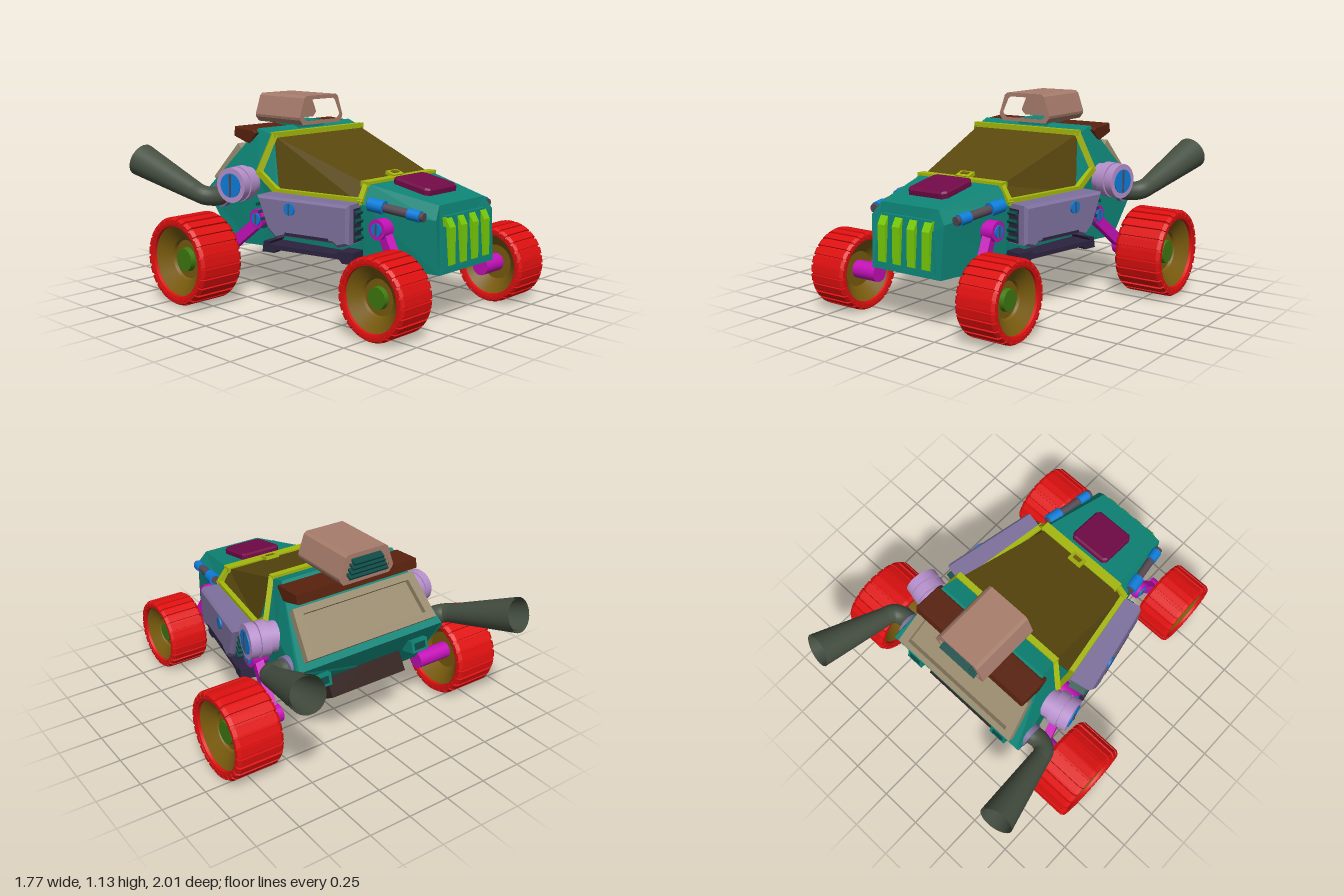
import * as THREE from 'three';
import { toCreasedNormals } from 'three/addons/utils/BufferGeometryUtils.js';

const V = (x, y, z) => new THREE.Vector3(x, y, z);
const C = {
  body: 0x0e8577, trim: 0xa5b80c, glass: 0x5a480e, pod: 0x7e719e, drum: 0xb58fca, arm: 0xc411b8,
  tyre: 0xe01010, hub: 0x7a5c0e, cap: 0x3f7a10, grille: 0x77cc08, hatch: 0x720a48, scoop: 0xa87d6c,
  wing: 0x5a220e, pipe: 0x465042, blue: 0x0e7ddb, tan: 0x9a8c70, skid: 0x2c2440, vent: 0x0c4a45, rod: 0x554a55, box: 0x33221f,
};
const mats = {};
for (const k in C) mats[k] = new THREE.MeshStandardMaterial({ color: C[k] });
mats.pipe.side = THREE.DoubleSide;

function add(parent, name, geo, mat, x = 0, y = 0, z = 0) {
  const m = new THREE.Mesh(geo, mats[mat]);
  m.name = name;
  m.position.set(x, y, z);
  parent.add(m);
  return m;
}
const box = (w, h, d) => new THREE.BoxGeometry(w, h, d);

// Round bar from a to b
function rod(parent, name, mat, a, b, r0, r1 = r0, open = false) {
  const m = add(parent, name, new THREE.CylinderGeometry(r1, r0, a.distanceTo(b), 28, 1, open), mat);
  m.position.copy(a).lerp(b, 0.5);
  m.quaternion.setFromUnitVectors(V(0, 1, 0), b.clone().sub(a).normalize());
  return m;
}
// Square bar from a to b
function beam(parent, name, mat, a, b, w, h) {
  const m = add(parent, name, box(w, h, a.distanceTo(b) + w * 0.6), mat);
  m.position.copy(a).lerp(b, 0.5);
  m.lookAt(b);
  return m;
}
function polygon(pts) {
  return new THREE.Shape(pts.map(p => new THREE.Vector2(p[0], p[1])));
}
function extrude(shape, depth, bevel = 0) {
  return new THREE.ExtrudeGeometry(shape, {
    depth, bevelEnabled: bevel > 0, bevelSize: bevel, bevelThickness: bevel, bevelOffset: -bevel, bevelSegments: 1, curveSegments: 6,
  });
}
// Side profile in (z, y), running inward from x = 0
const sideExtrude = (pts, depth, bevel) => extrude(polygon(pts), depth, bevel).rotateY(-Math.PI / 2);

// Mirrored sections, front to back; each is a list of [z, y, halfWidth] from bottom to top
function loft(sections) {
  const rings = sections.map(s => [...s.map(([z, y, w]) => V(-w, y, z)), ...s.slice().reverse().map(([z, y, w]) => V(w, y, z))]);
  const n = rings[0].length, pts = [], last = rings.length - 1;
  for (let s = 0; s < last; s++) for (let j = 0; j < n; j++) {
    const k = (j + 1) % n, a = rings[s][j], b = rings[s][k], c = rings[s + 1][k], d = rings[s + 1][j];
    pts.push(a, b, c, a, c, d);
  }
  for (let k = 1; k < n - 1; k++) {
    pts.push(rings[0][0], rings[0][k + 1], rings[0][k]);
    pts.push(rings[last][0], rings[last][k], rings[last][k + 1]);
  }
  const g = new THREE.BufferGeometry().setFromPoints(pts);
  g.computeVertexNormals();
  return g;
}
const lathe = (pts, scaleR, scaleY) =>
  toCreasedNormals(new THREE.LatheGeometry(pts.map(p => new THREE.Vector2(p[0] * scaleR, p[1] * scaleY)), 40), 0.4);

// Wheel with its outer face toward +x
function wheel(r, w) {
  const g = new THREE.Group();
  add(g, 'tyre', lathe([[0.77, -0.3], [0.8, -0.48], [0.91, -0.5], [0.965, -0.43], [0.965, 0.43], [0.91, 0.5], [0.8, 0.48], [0.77, 0.3]], r, w), 'tyre');
  add(g, 'hub', lathe([[0, -0.15], [0.45, -0.15], [0.79, -0.42], [0.79, 0.42], [0.47, 0.22], [0.44, 0.16], [0, 0.16]], r, w), 'hub');
  add(g, 'hubCap', new THREE.CylinderGeometry(r * 0.26, r * 0.28, w * 0.14, 28), 'cap', 0, w * 0.2, 0);
  // Tread lugs with chamfered shoulders
  const lug = extrude(polygon([[0.85, -0.5], [0.95, -0.5], [1, -0.43], [1, 0.43], [0.95, 0.5], [0.85, 0.5]].map(p => [p[0] * r, p[1] * w * 1.01])), r * 0.17);
  lug.translate(0, 0, -r * 0.085);
  for (let i = 0; i < 26; i++) add(g, 'treadLug', lug, 'tyre').rotation.y = i / 26 * Math.PI * 2;
  g.rotation.z = -Math.PI / 2;
  return g;
}

// Everything on the left side
function buildSide() {
  const g = new THREE.Group();
  for (const [name, r, w, x, y, z] of [['frontWheel', 0.215, 0.235, 0.495, 0.225, 0.787], ['rearWheel', 0.247, 0.275, 0.745, 0.257, -0.41]]) {
    const wh = wheel(r, w);
    wh.name = name;
    wh.position.set(x, y, z);
    g.add(wh);
  }
  // Suspension: pivot, arm and axle
  for (const [name, p, q, end] of [['front', V(0.31, 0.51, 0.61), V(0.345, 0.225, 0.787), 0.46], ['rear', V(0.46, 0.48, -0.15), V(0.52, 0.257, -0.41), 0.71]]) {
    rod(g, name + 'Pivot', 'arm', V(p.x - 0.07, p.y, p.z), V(p.x + 0.05, p.y, p.z), 0.055);
    rod(g, name + 'PivotCap', 'blue', V(p.x, p.y, p.z), V(p.x + 0.057, p.y, p.z), 0.034);
    add(g, name + 'PivotSlot', box(0.01, 0.06, 0.008), 'rod', p.x + 0.055, p.y, p.z);
    beam(g, name + 'Arm', 'arm', p, q, 0.05, 0.06);
    rod(g, name + 'Axle', 'arm', V(q.x - 0.04, q.y, q.z), V(end, q.y, q.z), 0.05);
  }
  // Nose damper
  const a = V(0.272, 0.595, 0.85), b = V(0.325, 0.63, 0.52);
  const at = t => a.clone().lerp(b, t);
  rod(g, 'damperRod', 'rod', a, b, 0.024);
  rod(g, 'damperRing', 'blue', at(0.06), at(0.27), 0.03);
  rod(g, 'damperBody', 'blue', at(0.7), at(0.97), 0.036);

  // Side pod
  const pod = new THREE.Group();
  pod.name = 'sidePod';
  pod.position.set(0.548, 0, 0);
  pod.rotation.y = -0.2;
  g.add(pod);
  add(pod, 'podShell', sideExtrude([[0.5, 0.63], [-0.09, 0.63], [-0.02, 0.45], [0.04, 0.4], [0.1, 0.42], [0.4, 0.42], [0.43, 0.4], [0.5, 0.42]], 0.12, 0.015), 'pod', -0.015, 0, 0);
  add(pod, 'podInner', box(0.1, 0.2, 0.5), 'pod', -0.16, 0.52, 0.2);
  add(pod, 'podGroove', box(0.012, 0.015, 0.28), 'skid', -0.004, 0.437, 0.24);
  rod(pod, 'podCap', 'blue', V(-0.02, 0.575, 0.135), V(0.01, 0.575, 0.135), 0.034);
  add(pod, 'podCapSlot', box(0.008, 0.06, 0.008), 'rod', 0.009, 0.575, 0.135);
  add(pod, 'intakeRecess', box(0.11, 0.18, 0.01), 'skid', -0.11, 0.515, 0.498);
  for (let i = 0; i < 4; i++) {
    add(pod, 'intakeSlat', box(0.1, 0.014, 0.03), 'vent', -0.11, 0.45 + i * 0.045, 0.505).rotation.x = 0.5;
    add(pod, 'rearSlat', box(0.1, 0.016, 0.05), 'vent', -0.08, 0.46 + i * 0.04, -0.045 - i * 0.015).rotation.x = -0.4;
  }
  add(pod, 'sideSkid', sideExtrude([[0.51, 0.375], [0.51, 0.31], [0.44, 0.31], [0.42, 0.33], [0.02, 0.33], [0, 0.31], [-0.08, 0.31], [-0.07, 0.37], [-0.02, 0.375], [-0.04, 0.355], [0.4, 0.355], [0.42, 0.375]], 0.16), 'skid', -0.04, 0, 0);

  // Drum behind the cabin
  const drum = new THREE.Group();
  drum.name = 'drum';
  drum.position.set(0.5, 0.665, -0.285);
  drum.rotation.y = -0.2;
  g.add(drum);
  for (const [x0, x1, r] of [[-0.1, -0.01, 0.085], [-0.02, 0.035, 0.1], [0.03, 0.05, 0.088], [0.045, 0.095, 0.098]])
    rod(drum, 'drumRing', 'drum', V(x0, 0, 0), V(x1, 0, 0), r);
  rod(drum, 'drumCap', 'blue', V(0.08, 0, 0), V(0.1, 0, 0), 0.068);
  add(drum, 'drumSlot', box(0.008, 0.125, 0.012), 'rod', 0.1, 0, 0);

  // Exhaust
  rod(g, 'exhaustCollar', 'pod', V(0.42, 0.575, -0.49), V(0.49, 0.57, -0.49), 0.072);
  const bend = new THREE.CatmullRomCurve3([V(0.44, 0.575, -0.49), V(0.53, 0.57, -0.475), V(0.59, 0.58, -0.5), V(0.617, 0.606, -0.58)]);
  add(g, 'exhaustElbow', new THREE.TubeGeometry(bend, 20, 0.055, 24), 'pipe');
  rod(g, 'exhaustPipe', 'pipe', V(0.609, 0.597, -0.555), V(0.685, 0.748, -0.975), 0.056, 0.098, true);
  rod(g, 'exhaustLiner', 'pipe', V(0.609, 0.597, -0.555), V(0.685, 0.748, -0.973), 0.046, 0.088, true);

  // Cabin trim
  const sill = V(0.41, 0.63, -0.08), elbow = V(0.425, 0.73, -0.215), arch = V(0.355, 0.93, -0.165);
  const cowl = V(0.27, 0.715, 0.46), foot = V(0.325, 0.635, 0.47);
  for (const [p, q] of [[foot, sill], [sill, elbow], [elbow, arch], [cowl, foot]]) beam(g, 'cabinTrim', 'trim', p, q, 0.03, 0.035);

  // Rear bracket
  const bracket = add(g, 'rearBracket', box(0.11, 0.07, 0.09), 'body', 0.33, 0.49, -0.56);
  add(bracket, 'bracketRecess', box(0.075, 0.04, 0.01), 'vent', 0, 0, -0.042);
  bracket.rotation.x = 0.25;
  return g;
}

export function createModel() {
  const car = new THREE.Group();
  car.name = 'buggy';

  add(car, 'body', loft([
    [[0.92, 0.3, 0.23], [0.9, 0.58, 0.24], [0.88, 0.65, 0.19]],
    [[0.48, 0.3, 0.31], [0.48, 0.62, 0.33], [0.48, 0.72, 0.27]],
    [[0.46, 0.3, 0.31], [0.46, 0.61, 0.33], [0.46, 0.62, 0.32]],
    [[-0.08, 0.3, 0.38], [-0.08, 0.61, 0.41], [-0.08, 0.62, 0.4]],
    [[-0.2, 0.3, 0.4], [-0.22, 0.73, 0.425], [-0.17, 0.93, 0.36]],
    [[-0.3, 0.3, 0.42], [-0.35, 0.68, 0.45], [-0.28, 0.965, 0.37]],
    [[-0.43, 0.3, 0.45], [-0.6, 0.58, 0.49], [-0.605, 0.6, 0.48]],
  ]), 'body');
  add(car, 'cabinGlass', loft([
    [[0.465, 0.615, 0.32], [0.46, 0.715, 0.265]],
    [[-0.08, 0.615, 0.4], [-0.16, 0.925, 0.35]],
    [[-0.2, 0.615, 0.4], [-0.2, 0.925, 0.35]],
  ]), 'glass');
  beam(car, 'cabinTrimTop', 'trim', V(-0.355, 0.935, -0.165), V(0.355, 0.935, -0.165), 0.035, 0.03);
  beam(car, 'cowlTrim', 'trim', V(-0.27, 0.72, 0.455), V(0.27, 0.72, 0.455), 0.055, 0.03);
  add(car, 'cowlLatch', box(0.09, 0.02, 0.06), 'trim', 0, 0.74, 0.42).rotation.x = 0.3;
  add(car, 'latchSlot', box(0.05, 0.01, 0.025), 'hub', 0, 0.75, 0.42).rotation.x = 0.3;

  // Bonnet hatch with clipped corners
  const hatch = add(car, 'bonnetHatch', extrude(polygon([[-0.13, -0.1], [-0.11, -0.125], [0.11, -0.125], [0.13, -0.1], [0.13, 0.1], [0.11, 0.125], [-0.11, 0.125], [-0.13, 0.1]]), 0.035, 0.01), 'hatch', 0, 0.685, 0.63);
  hatch.rotation.x = -Math.PI / 2 + 0.17;

  // Nose panel and grille bars
  add(car, 'nosePanel', loft([
    [[0.93, 0.33, 0.2], [0.907, 0.595, 0.165]],
    [[0.88, 0.33, 0.2], [0.86, 0.595, 0.165]],
  ]), 'body');
  const bar = sideExtrude([[0.91, 0.335], [0.937, 0.345], [0.935, 0.54], [0.905, 0.59], [0.88, 0.59]], 0.05);
  for (const x of [-0.147, -0.049, 0.049, 0.147]) add(car, 'grilleBar', bar, 'grille', x + 0.025, 0, 0);

  // Roof scoop
  const outline = k => [[0.12, 0.083], [0.137, 0.07], [0.175, -0.04], [0.172, -0.055], [0.15, -0.083]].flatMap(([x, y]) => [[x, y]]).map(([x, y]) => [x - Math.sign(x) * k * 1.25, y * (1 - k * 12)]);
  const full = k => { const h = outline(k); return [...h, ...h.slice().reverse().map(([x, y]) => [-x, y])]; };
  const shell = polygon(full(0));
  shell.holes.push(polygon(full(0.022)));
  add(car, 'scoopShell', extrude(shell, 0.38), 'scoop', 0, 1.057, -0.525);
  add(car, 'scoopBack', extrude(polygon(full(0.018)), 0.17), 'scoop', 0, 1.057, -0.515);
  for (let i = 0; i < 4; i++) add(car, 'scoopLouvre', box(0.25 - i * 0.02, 0.012, 0.05), 'vent', 0, 1.022 + i * 0.025, -0.525).rotation.x = -0.45;
  add(car, 'scoopNeck', box(0.2, 0.06, 0.2), 'body', 0, 0.955, -0.33);

  // Roof wing
  add(car, 'roofWing', sideExtrude([[-0.27, 0.94], [-0.3, 0.955], [-0.46, 0.965], [-0.47, 0.91], [-0.33, 0.87]], 0.78, 0.006), 'wing', 0.39, 0, 0);

  // Rear window frame on the sloping tail
  const frame = polygon([[-0.4, -0.14], [0.4, -0.14], [0.43, 0.14], [-0.43, 0.14]]);
  frame.holes.push(polygon([[-0.35, -0.1], [0.35, -0.1], [0.375, 0.1], [-0.375, 0.1]]));
  const rear = new THREE.Group();
  rear.name = 'rearWindow';
  rear.position.set(0, 0.735, -0.485);
  rear.rotation.x = Math.PI + 0.72;
  add(rear, 'rearWindowFrame', extrude(frame, 0.045), 'tan');
  add(rear, 'rearWindowPane', box(0.76, 0.21, 0.03), 'tan');
  car.add(rear);

  // Box under the tail
  add(car, 'underTailBox', box(0.5, 0.2, 0.08), 'box', 0, 0.42, -0.495).rotation.x = 0.55;

  const left = buildSide();
  left.name = 'leftSide';
  const right = left.clone();
  right.name = 'rightSide';
  right.scale.x = -1;
  car.add(left, right);
  return car;
}
